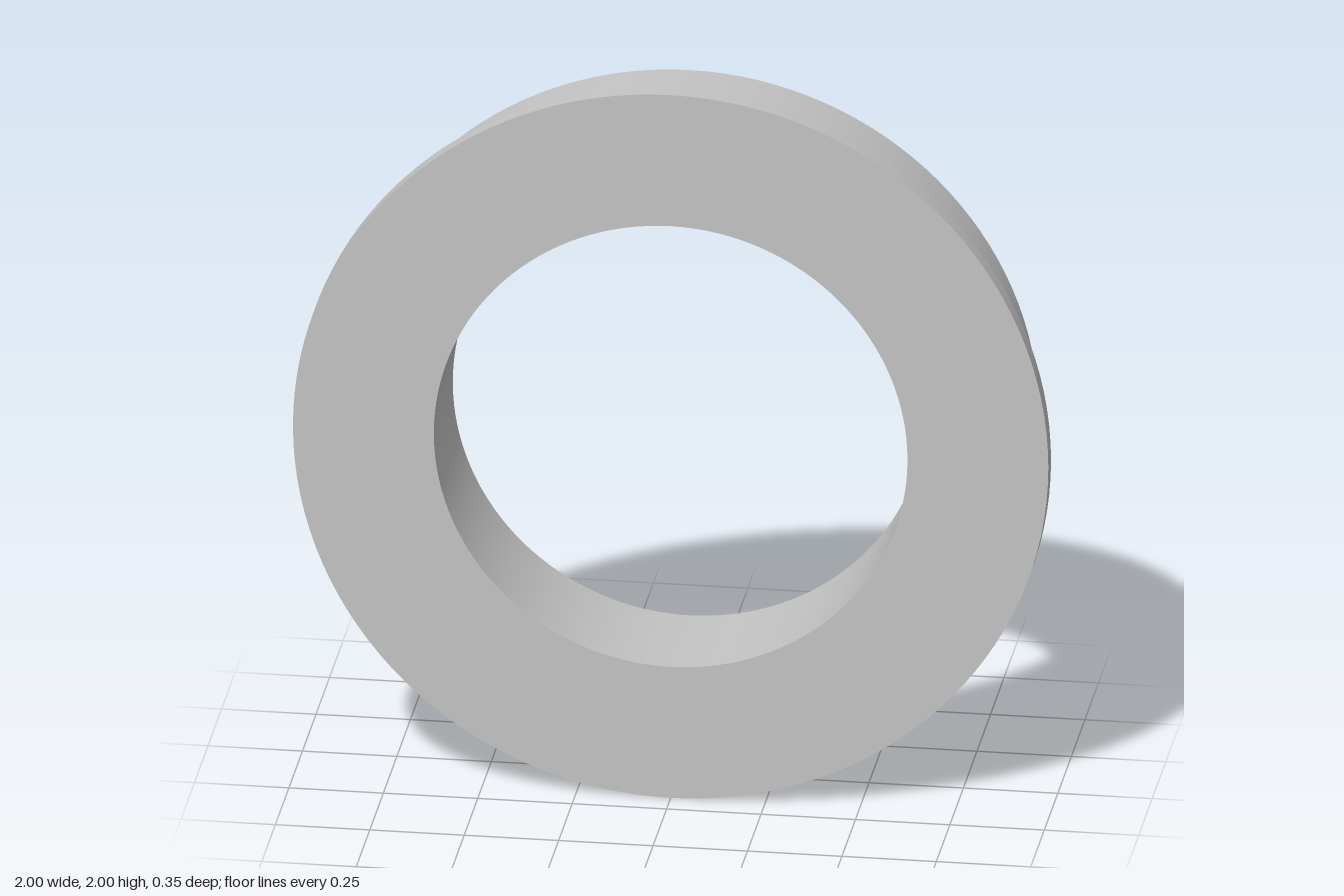
import * as THREE from 'three';
import { mergeGeometries } from 'three/addons/utils/BufferGeometryUtils.js';

const SEGMENTS = 128;
const OUTER = 1, BODY = 0.925, BORE = 0.627;      // radii
const BACK = -0.175, STEP = 0.125, FRONT = 0.175; // depths along z

// Revolve a [radius, z] profile around z, one strip per edge to keep corners sharp
function revolve(name, profile, material) {
  const strips = profile.slice(1).map((end, i) => new THREE.LatheGeometry(
    [profile[i], end].map(([r, z]) => new THREE.Vector2(r, z)), SEGMENTS));
  const geometry = mergeGeometries(strips);
  geometry.rotateX(Math.PI / 2);
  const mesh = new THREE.Mesh(geometry, material);
  mesh.name = name;
  mesh.position.y = OUTER;
  return mesh;
}

export function createModel() {
  const group = new THREE.Group();
  group.name = 'flangedRing';
  const metal = new THREE.MeshStandardMaterial({ color: 0xc4c4c4 });
  metal.name = 'light grey metal';

  // Thin front flange: rear shoulder, rim and front face
  group.add(revolve('flange',
    [[BODY, STEP], [OUTER, STEP], [OUTER, FRONT], [BORE, FRONT]], metal));
  // Thick sleeve: through bore, back face and outer wall
  group.add(revolve('sleeve',
    [[BORE, FRONT], [BORE, BACK], [BODY, BACK], [BODY, STEP]], metal));
  return group;
}
